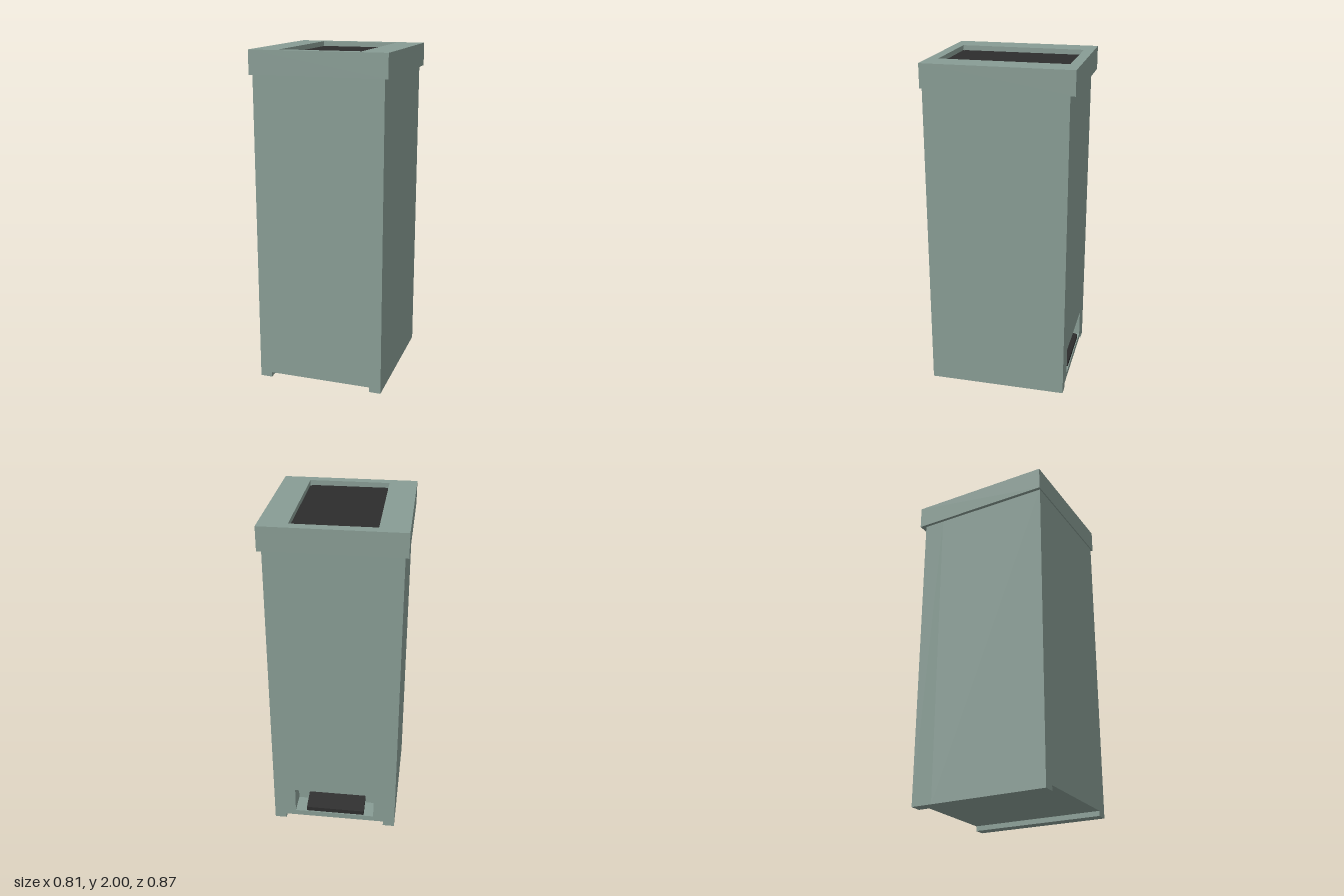
import * as THREE from 'three';

// Closed shape from a list of [x, y] corners
function polygon(points) {
  return new THREE.Shape(points.map(([x, y]) => new THREE.Vector2(x, y)));
}

// Rectangular hole from its limits
function rectHole(x0, x1, y0, y1) {
  return new THREE.Path([[x0, y0], [x0, y1], [x1, y1], [x1, y0]].map(([x, y]) => new THREE.Vector2(x, y)));
}

function extrude(shape, depth) {
  return new THREE.ExtrudeGeometry(shape, { depth, bevelEnabled: false });
}

export function createModel() {
  const group = new THREE.Group();
  const casing = new THREE.MeshStandardMaterial({ color: 0x889c94 });
  casing.name = 'greyGreenCasing';
  const dark = new THREE.MeshStandardMaterial({ color: 0x2d2d2d });
  dark.name = 'darkPlastic';

  function add(name, geometry, material, x = 0, y = 0, z = 0) {
    const mesh = new THREE.Mesh(geometry, material);
    mesh.name = name;
    mesh.position.set(x, y, z);
    group.add(mesh);
    return mesh;
  }

  // Body outline: tall box with a shallow notch between two foot runners
  const bodyOutline = () => polygon([
    [-0.385, 0], [-0.313, 0], [-0.313, 0.03], [0.313, 0.03],
    [0.313, 0], [0.385, 0], [0.385, 1.87], [-0.385, 1.87],
  ]);
  const backZ = -0.405, recessZ = -0.275, frontZ = 0.43;
  add('body', extrude(bodyOutline(), frontZ - recessZ), casing, 0, 0, recessZ);

  // Rear part of the body, cut through for the pedal recess
  const rear = bodyOutline();
  rear.holes.push(rectHole(-0.25, 0.25, 0.065, 0.23));
  add('pedalHousing', extrude(rear, recessZ - backZ), casing, 0, 0, backZ);

  // Pedal: plate sloping down towards the outside, profile in z and y
  const pedal = extrude(polygon([
    [-0.4, 0.067], [-0.274, 0.095], [-0.274, 0.123], [-0.4, 0.095],
  ]), 0.366);
  pedal.rotateY(-Math.PI / 2);
  add('pedal', pedal, dark, 0.178);

  // Lid frame with rectangular opening
  const lid = polygon([[-0.405, -0.437], [0.405, -0.437], [0.405, 0.437], [-0.405, 0.437]]);
  lid.holes.push(rectHole(-0.24, 0.24, -0.376, 0.376));
  const lidGeometry = extrude(lid, 0.14);
  lidGeometry.rotateX(-Math.PI / 2);
  add('lidFrame', lidGeometry, casing, 0, 1.86, 0);

  // Sunken flap and the small corner blocks around it
  add('flap', new THREE.BoxGeometry(0.48, 0.1, 0.752), dark, 0, 1.92, 0);
  for (const sx of [-1, 1]) {
    for (const sz of [-1, 1]) {
      add('flapCorner', new THREE.BoxGeometry(0.008, 0.02, 0.008), casing, sx * 0.236, 1.963, sz * 0.372);
    }
  }

  return group;
}
